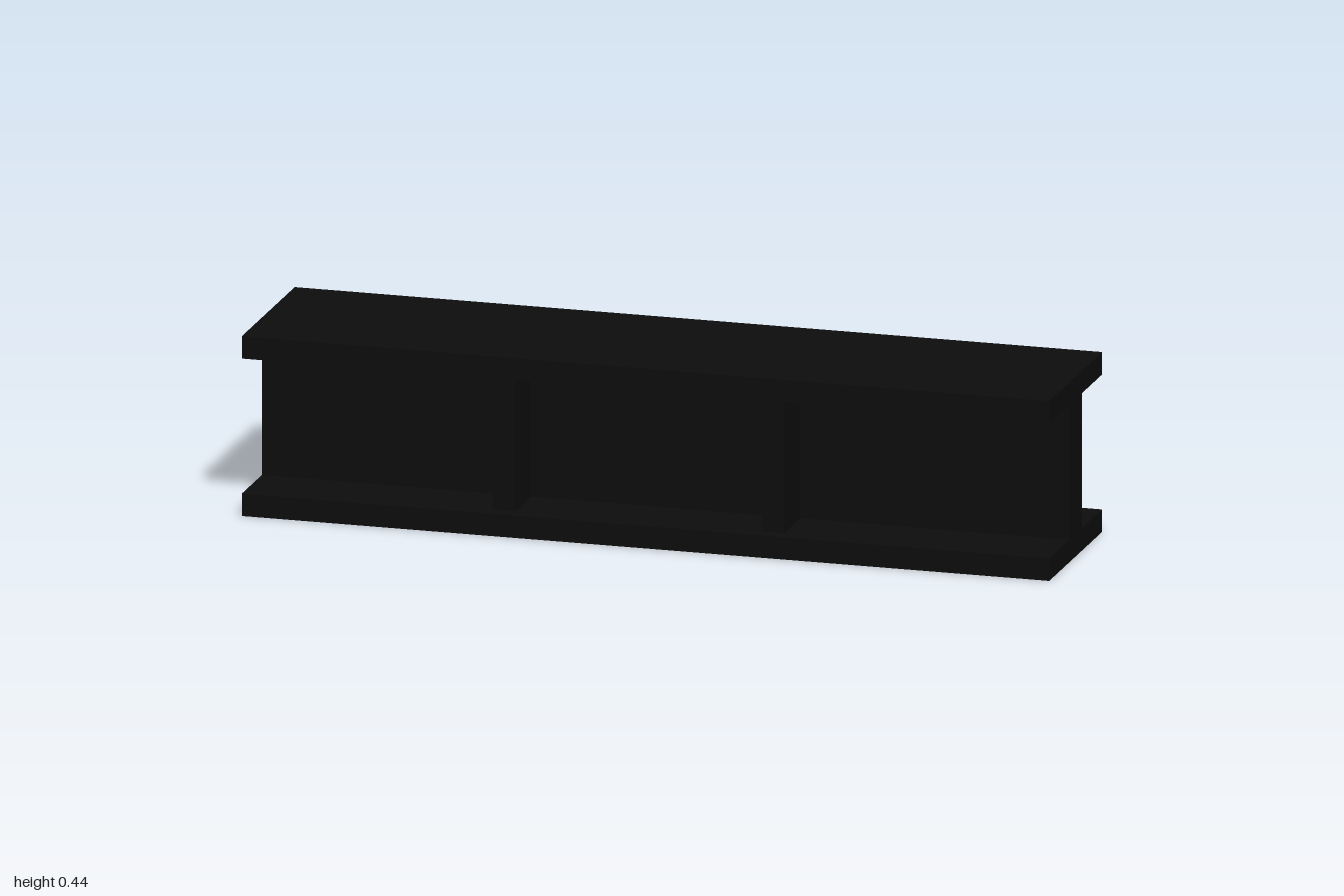
import * as THREE from 'three';

const U = 1 / 18; // plate thickness
const LENGTH = 2;
const HEIGHT = 8 * U;
const FLANGE = 4 * U; // half width of the flanges
const WEB = 0.055; // half thickness of the web
const RIB_REACH = 0.19; // how far the stiffeners stand out from the centre

export function createModel() {
  const model = new THREE.Group();
  model.name = 'steelBeam';

  const blackSteel = new THREE.MeshStandardMaterial({ color: 0x0d0d0d });
  blackSteel.name = 'blackSteel';

  // I-shaped section, run along x
  const section = new THREE.Shape([
    [-FLANGE, 0], [FLANGE, 0], [FLANGE, U], [WEB, U],
    [WEB, HEIGHT - U], [FLANGE, HEIGHT - U], [FLANGE, HEIGHT], [-FLANGE, HEIGHT],
    [-FLANGE, HEIGHT - U], [-WEB, HEIGHT - U], [-WEB, U], [-FLANGE, U],
  ].map(([z, y]) => new THREE.Vector2(z, y)));
  const beamGeometry = new THREE.ExtrudeGeometry(section, { depth: LENGTH, bevelEnabled: false });
  beamGeometry.translate(0, 0, -LENGTH / 2).rotateY(Math.PI / 2);
  const beam = new THREE.Mesh(beamGeometry, blackSteel);
  beam.name = 'beam';
  model.add(beam);

  // Two stiffeners on each side, between the flanges
  const ribGeometry = new THREE.BoxGeometry(U, HEIGHT - 2 * U, RIB_REACH - WEB);
  for (const side of [1, -1]) {
    for (const x of [-6.5 * U, 5.5 * U]) {
      const rib = new THREE.Mesh(ribGeometry, blackSteel);
      rib.name = side > 0 ? 'frontStiffener' : 'backStiffener';
      rib.position.set(x, HEIGHT / 2, side * (WEB + RIB_REACH) / 2);
      model.add(rib);
    }
  }

  return model;
}
